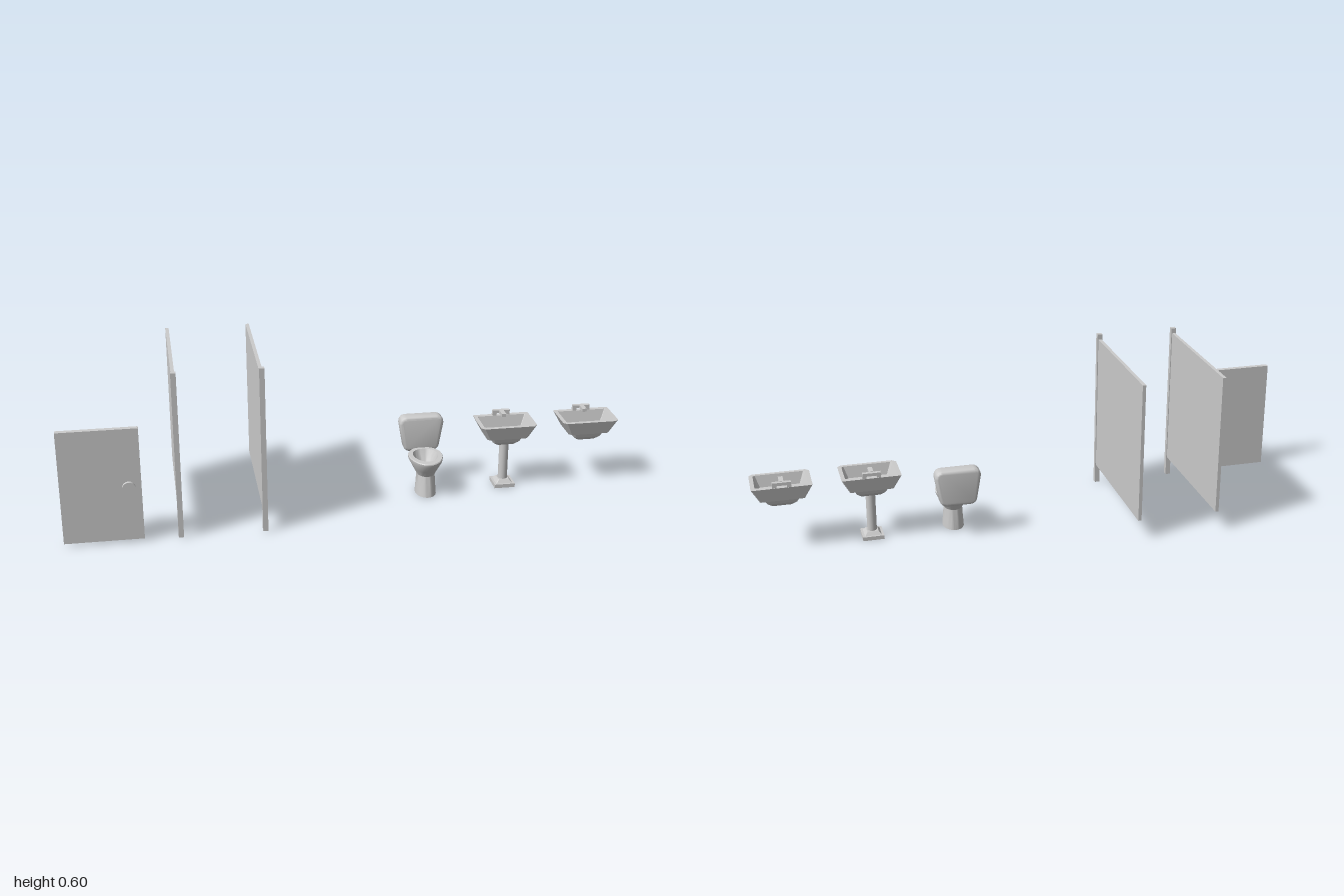
import * as THREE from 'three';
import { toCreasedNormals } from 'three/addons/utils/BufferGeometryUtils.js';

const grey = new THREE.MeshStandardMaterial({ color: 0xcccccc });

function add(parent, name, geometry, x = 0, y = 0, z = 0) {
  const mesh = new THREE.Mesh(geometry, grey);
  mesh.name = name;
  mesh.position.set(x, y, z);
  parent.add(mesh);
  return mesh;
}

// Box given by its lower and upper corners
function box(parent, name, [x0, y0, z0], [x1, y1, z1]) {
  return add(parent, name, new THREE.BoxGeometry(x1 - x0, y1 - y0, z1 - z0),
    (x0 + x1) / 2, (y0 + y1) / 2, (z0 + z1) / 2);
}

// Skin over closed rings of points, closed at both ends
function loft(rings, crease) {
  const centre = (ring) => {
    const c = ring.reduce((s, p) => s.add(p), new THREE.Vector3()).divideScalar(ring.length);
    return ring.map(() => c);
  };
  const all = [centre(rings[0]), ...rings, centre(rings[rings.length - 1])];
  const n = rings[0].length;
  const pos = [];
  const tri = (...pts) => {
    const [a, b, c] = pts;
    const area = b.clone().sub(a).cross(c.clone().sub(a)).length();
    if (area > 1e-10) pts.forEach((p) => pos.push(p.x, p.y, p.z));
  };
  for (let i = 0; i < all.length - 1; i++) {
    for (let j = 0; j < n; j++) {
      const k = (j + 1) % n;
      tri(all[i][j], all[i + 1][j], all[i][k]);
      tri(all[i][k], all[i + 1][j], all[i + 1][k]);
    }
  }
  const g = new THREE.BufferGeometry();
  g.setAttribute('position', new THREE.Float32BufferAttribute(pos, 3));
  return toCreasedNormals(g, crease);
}

// Egg-shaped ring: half width, back, widest and front z
function eggRing([y, w, back, mid, front]) {
  return Array.from({ length: 32 }, (_, i) => {
    const a = (i / 32) * Math.PI * 2;
    const s = Math.sin(a);
    return new THREE.Vector3(w * Math.cos(a), y, mid + s * (s > 0 ? front - mid : mid - back));
  });
}

// Rectangular ring with cut corners
function basinRing([y, w, back, front, cut]) {
  const b = cut * 0.3;
  return [[w, back + b], [w, front - cut], [w - cut, front], [cut - w, front],
    [-w, front - cut], [-w, back + b], [b - w, back], [w - b, back]]
    .map(([x, z]) => new THREE.Vector3(x, y, z));
}

function createToilet() {
  const g = new THREE.Group();
  g.name = 'toilet';
  // Foot, waist, flared bowl, rim and hollow inside
  add(g, 'bowl', loft([
    [0, 0.038, -0.025, 0.03, 0.086],
    [0.04, 0.035, -0.021, 0.028, 0.077],
    [0.076, 0.033, -0.017, 0.026, 0.07],
    [0.1, 0.046, -0.03, 0.02, 0.086],
    [0.13, 0.061, -0.049, 0.015, 0.11],
    [0.14, 0.062, -0.05, 0.015, 0.112],
    [0.143, 0.06, -0.048, 0.015, 0.109],
    [0.143, 0.045, -0.032, 0.016, 0.083],
    [0.125, 0.038, -0.022, 0.018, 0.07],
    [0.1, 0.027, -0.006, 0.022, 0.055],
  ].map(eggRing), 0.55));

  // Tapered cistern with softened edges
  const b = 0.011;
  const s = new THREE.Shape();
  s.moveTo(-0.05 + b, 0.128 + b);
  s.lineTo(0.05 - b, 0.128 + b);
  s.quadraticCurveTo(0.063 - b, 0.128 + b, 0.066 - b, 0.148);
  s.lineTo(0.081 - b, 0.235);
  s.quadraticCurveTo(0.081 - b, 0.262 - b, 0.066 - b, 0.262 - b);
  s.lineTo(-0.066 + b, 0.262 - b);
  s.quadraticCurveTo(-0.081 + b, 0.262 - b, -0.081 + b, 0.235);
  s.lineTo(-0.066 + b, 0.148);
  s.quadraticCurveTo(-0.063 + b, 0.128 + b, -0.05 + b, 0.128 + b);
  const tank = new THREE.ExtrudeGeometry(s, {
    depth: 0.054 - 2 * b, bevelThickness: b, bevelSize: b, bevelSegments: 3, curveSegments: 6,
  });
  add(g, 'cistern', toCreasedNormals(tank, 0.6), 0, 0, -0.097 + b);
  return g;
}

function createSink(withPedestal) {
  const g = new THREE.Group();
  g.name = withPedestal ? 'pedestalSink' : 'wallSink';
  // Stepped underside, sloping walls, rim and hollow inside
  add(g, 'basin', loft([
    [0.166, 0.034, -0.012, 0.03, 0.006],
    [0.18, 0.05, -0.026, 0.044, 0.008],
    [0.2, 0.062, -0.033, 0.051, 0.01],
    [0.2, 0.076, -0.047, 0.063, 0.01],
    [0.252, 0.104, -0.059, 0.079, 0.013],
    [0.252, 0.09, -0.042, 0.066, 0.007],
    [0.21, 0.074, -0.032, 0.056, 0.006],
  ].map(basinRing), 0.2));

  // Tap: two uprights, a crossbar and a spout
  for (const side of [-1, 1]) {
    const x = side * 0.025;
    box(g, 'tapUpright', [x - 0.007, 0.25, -0.058], [x + 0.007, 0.262, -0.044]);
  }
  box(g, 'tapCrossbar', [-0.032, 0.26, -0.058], [0.032, 0.271, -0.044]);
  box(g, 'tapSpout', [-0.008, 0.26, -0.046], [0.008, 0.272, -0.006]);

  if (withPedestal) {
    const z = 0.0095;
    add(g, 'column', new THREE.CylinderGeometry(0.017, 0.017, 0.15, 24), 0, 0.095, z);
    box(g, 'foot', [-0.038, 0, z - 0.038], [0.038, 0.014, z + 0.038]);
    add(g, 'footSlope', loft([
      [0.014, 0.03, z - 0.03, z + 0.03, 0.002],
      [0.026, 0.02, z - 0.02, z + 0.02, 0.002],
    ].map(basinRing), 0.2));
  }
  return g;
}

export function createModel() {
  const model = new THREE.Group();
  model.name = 'restroomSet';

  // Stall door with round knob
  const door = new THREE.Group();
  door.name = 'stallDoor';
  box(door, 'doorPanel', [-1, 0.01, 0.238], [-0.73, 0.416, 0.256]);
  add(door, 'knob', new THREE.CylinderGeometry(0.0225, 0.0225, 0.012, 24).rotateX(Math.PI / 2),
    -0.772, 0.204, 0.261);
  model.add(door);

  // Two stall partitions, each with a front post
  for (const x of [-0.607, -0.318]) {
    const stall = new THREE.Group();
    stall.name = 'stallPartition';
    box(stall, 'post', [x - 0.009, 0.003, 0.238], [x + 0.009, 0.6, 0.256]);
    box(stall, 'partitionPanel', [x - 0.006, 0.075, -0.264], [x + 0.006, 0.581, 0.238]);
    model.add(stall);
  }

  // Fixtures
  const toilet = createToilet();
  toilet.position.x = 0.292;
  const pedestalSink = createSink(true);
  pedestalSink.position.x = 0.588;
  const wallSink = createSink(false);
  wallSink.position.x = 0.894;
  model.add(toilet, pedestalSink, wallSink);
  return model;
}
